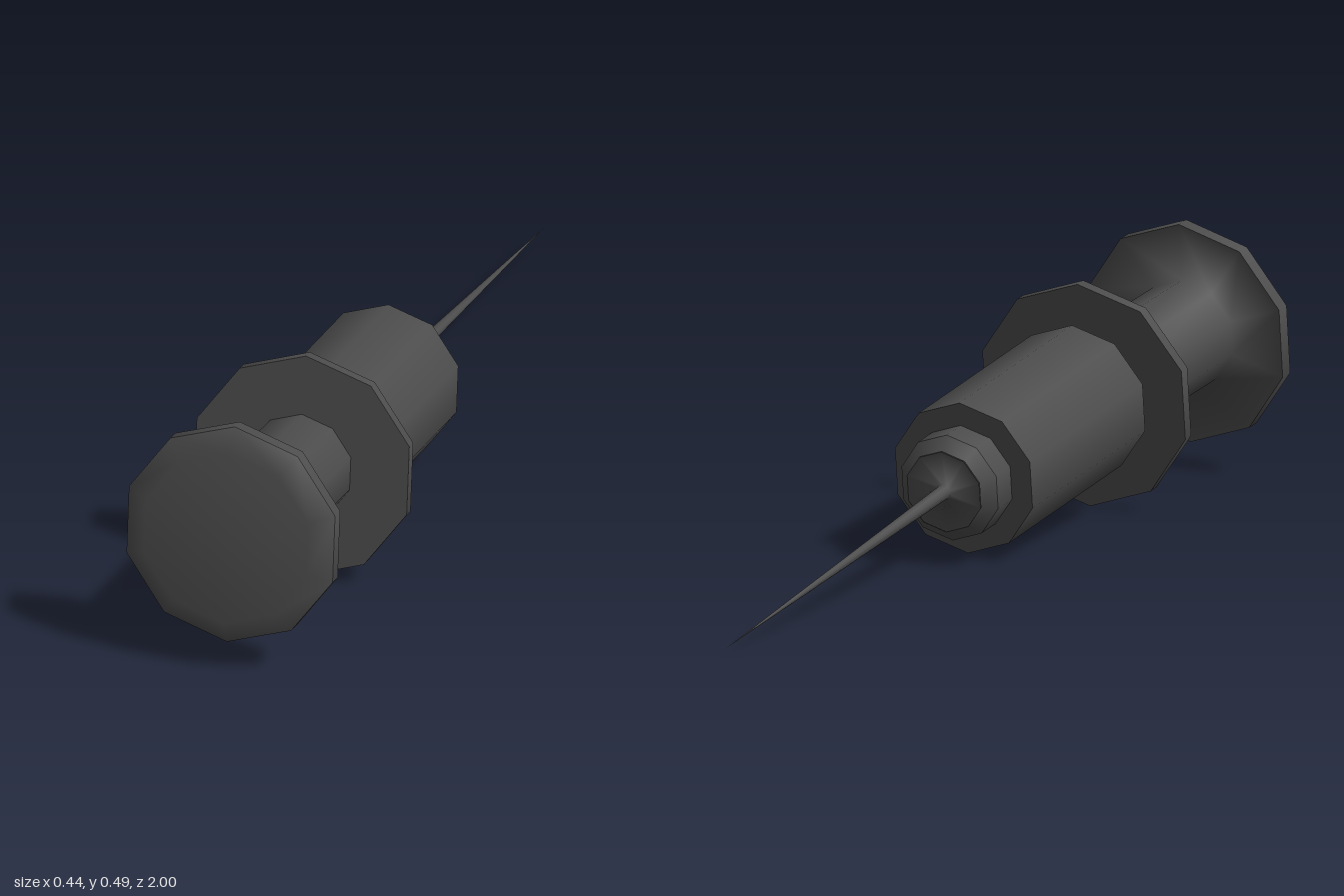
import * as THREE from 'three';
import { mergeGeometries } from 'three/addons/utils/BufferGeometryUtils.js';

const SIDES = 10;
const material = new THREE.MeshStandardMaterial({ color: 0x4d4d4d });

// Ten-sided turned part; every run of [radius, distance] points is smooth, runs meet in sharp edges.
// Distances go from back to front along the part's axis.
function turned(name, ...runs) {
  const strips = runs.map((run) =>
    new THREE.LatheGeometry(run.map(([r, t]) => new THREE.Vector2(r, t)), SIDES));
  const mesh = new THREE.Mesh(mergeGeometries(strips).rotateX(Math.PI / 2), material);
  mesh.name = name;
  return mesh;
}

// Group whose +z axis runs from one point towards another
function along(name, from, to, ...parts) {
  const group = new THREE.Group();
  const start = new THREE.Vector3(...from);
  const dir = new THREE.Vector3(...to).sub(start).normalize();
  group.name = name;
  group.position.copy(start);
  group.quaternion.setFromUnitVectors(new THREE.Vector3(0, 0, 1), dir);
  group.add(...parts);
  return group;
}

export function createModel() {
  const model = new THREE.Group();
  model.name = 'syringe';

  // Plunger: shaft flowing into the back of a bevelled thumb cap
  model.add(along('plunger', [0.002, 0.224, 0.5], [-0.012, 0.274, 0.935],
    turned('plungerShaft', [[0.106, -0.05], [0.106, 0.42], [0.218, 0.42]]),
    turned('thumbCap',
      [[0.218, 0.42], [0.218, 0.451]],
      [[0.218, 0.451], [0.172, 0.48], [0, 0.48]])));

  // Barrel with finger flange behind it and stepped hub at the needle end
  model.add(along('barrelAssembly', [0.009, 0.1625, 0], [0.005, 0.228, 0.525],
    turned('fingerFlange',
      [[0, 0.517], [0.223, 0.517]],
      [[0.223, 0.517], [0.223, 0.542]],
      [[0.223, 0.542], [0, 0.542]]),
    turned('barrel',
      [[0, 0], [0.151, 0]],
      [[0.151, 0], [0.151, 0.485]],
      [[0.151, 0.485], [0, 0.485]]),
    turned('hub',
      [[0.081, -0.085], [0.106, -0.06]],
      [[0.106, -0.06], [0.106, 0.01]])));

  // Needle: long spike flowing into the end face of the hub
  model.add(along('needleAssembly', [0.025, 0.02, -1], [0.011, 0.151, -0.083],
    turned('needle', [[0, 0], [0.0145, 0.927], [0.081, 0.927]])));

  return model;
}
